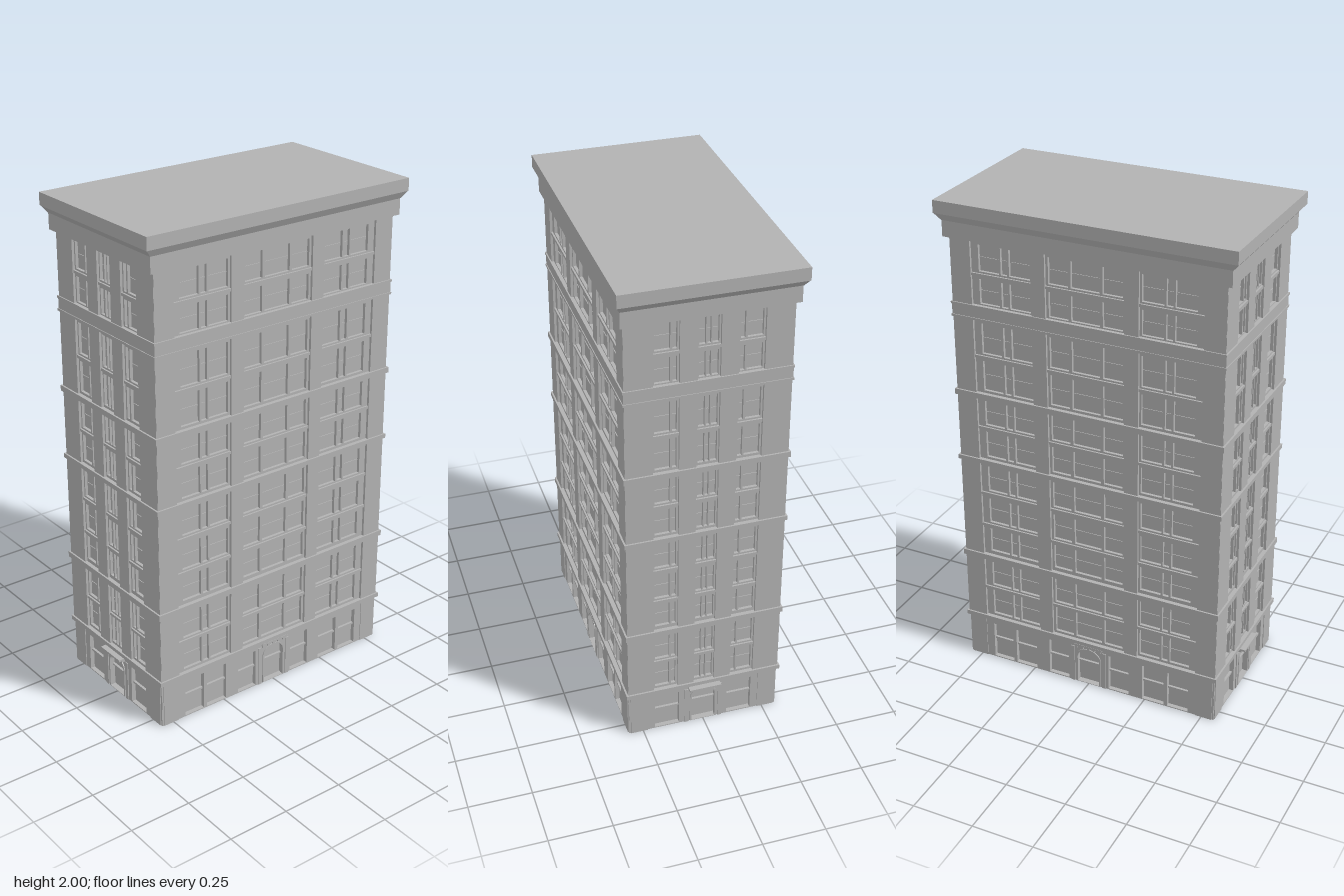
import * as THREE from 'three';

const stone = new THREE.MeshStandardMaterial({ color: 0xb2b2b2 });
stone.name = 'grey stone';

function add(parent, name, geometry, x = 0, y = 0, z = 0) {
  const mesh = new THREE.Mesh(geometry, stone);
  mesh.name = name;
  mesh.position.set(x, y, z);
  parent.add(mesh);
  return mesh;
}

// Box given by its x range, y range and z range
function block(parent, name, x0, x1, y0, y1, z0, z1) {
  return add(parent, name, new THREE.BoxGeometry(x1 - x0, y1 - y0, z1 - z0),
    (x0 + x1) / 2, (y0 + y1) / 2, (z0 + z1) / 2);
}

function rectPath(x0, x1, y0, y1, Type = THREE.Path) {
  const p = new Type();
  p.moveTo(x0, y0);
  p.lineTo(x1, y0);
  p.lineTo(x1, y1);
  p.lineTo(x0, y1);
  p.closePath();
  return p;
}

function archPath(r, y0, spring, Type = THREE.Path) {
  const p = new Type();
  p.moveTo(-r, y0);
  p.lineTo(r, y0);
  p.lineTo(r, spring);
  p.absellipse(0, spring, r, r * 0.8, 0, Math.PI, false);
  p.closePath();
  return p;
}

// Flat panel with holes, its outer face at z
function panel(parent, name, shape, holes, z, depth) {
  shape.holes.push(...holes);
  const geo = new THREE.ExtrudeGeometry(shape, { depth, bevelEnabled: false, curveSegments: 10 });
  return add(parent, name, geo, 0, 0, z - depth);
}

// Storeys between the belts: the bay opening and its window rows
const sections = [
  { y0: 0.205, y1: 0.48, rows: [[0.215, 0.33], [0.355, 0.465]] },
  { y0: 0.505, y1: 0.925, rows: [[0.52, 0.625], [0.655, 0.765], [0.80, 0.91]] },
  { y0: 0.945, y1: 1.21, rows: [[0.955, 1.065], [1.095, 1.20]] },
  { y0: 1.235, y1: 1.54, rows: [[1.245, 1.37], [1.40, 1.525]] },
  { y0: 1.60, y1: 1.86, rows: [[1.605, 1.705], [1.735, 1.84]] },
];

// One side of the building, facing +z at distance d
function facade(name, half, d, bays, groundOpenings, canopyDepth) {
  const g = new THREE.Group();
  g.name = name;

  // Main wall with tall bay openings
  const openings = [];
  for (const s of sections) for (const b of bays) openings.push(rectPath(b.x0, b.x1, s.y0, s.y1 - 0.002));
  panel(g, 'wall', rectPath(-half, half, 0.185, 1.87, THREE.Shape), openings, d, 0.03);

  // Recessed window panels, sills and glass in each bay
  for (const b of bays) {
    const panes = [];
    for (const s of sections) {
      s.rows.forEach(([y0, y1], i) => {
        for (const [x0, x1] of b.panes) {
          panes.push(rectPath(x0, x1, y0, y1));
          block(g, 'sash rail', x0, x1, (y0 + y1) / 2 - 0.002, (y0 + y1) / 2 + 0.002, d - 0.024, d - 0.021);
        }
        if (i > 0) block(g, 'sill', b.x0, b.x1, y0 - 0.018, y0 - 0.007, d - 0.02, d - 0.003);
      });
    }
    panel(g, 'window frames', rectPath(b.x0 - 0.005, b.x1 + 0.005, 0.19, 1.865, THREE.Shape), panes, d - 0.01, 0.012);
    block(g, 'glass', b.x0 - 0.005, b.x1 + 0.005, 0.19, 1.865, d - 0.028, d - 0.024);
  }

  // Ground floor with shop windows and an arched doorway
  const base = d - 0.003;
  const holes = groundOpenings.map(([x0, x1]) => rectPath(x0, x1, 0.004, 0.165));
  holes.push(archPath(0.05, 0.004, 0.125));
  panel(g, 'ground floor wall', rectPath(-half + 0.003, half - 0.003, 0, 0.19, THREE.Shape), holes, base, 0.03);
  for (const [x0, x1] of groundOpenings) {
    block(g, 'shop window', x0 - 0.004, x1 + 0.004, 0.004, 0.17, base - 0.024, base - 0.018);
    block(g, 'transom', x0, x1, 0.088, 0.096, base - 0.02, base - 0.008);
    for (const x of [x0, x1]) block(g, 'partition', x - 0.002, x + 0.002, 0.004, 0.18, base - 0.09, base - 0.02);
  }
  block(g, 'door', -0.054, 0.054, 0.004, 0.172, base - 0.026, base - 0.02);
  block(g, 'door transom', -0.05, 0.05, 0.096, 0.102, base - 0.022, base - 0.01);
  panel(g, 'door surround', archPath(0.055, 0.002, 0.125, THREE.Shape), [archPath(0.048, 0.004, 0.125)], base + 0.004, 0.015);
  for (const s of [-1, 1]) {
    block(g, 'door pilaster', s * 0.07 - 0.008, s * 0.07 + 0.008, 0, 0.17, base - 0.01, base + 0.004);
    block(g, 'corner pilaster', s * (half - 0.045) - 0.035, s * (half - 0.045) + 0.035, 0, 0.185, base - 0.01, base + 0.003);
  }

  // Canopy on small brackets
  block(g, 'canopy', -0.065, 0.065, 0.181, 0.189, base - 0.01, d + canopyDepth);
  for (let i = 0; i < 5; i++) {
    const x = -0.052 + i * 0.026;
    block(g, 'bracket', x - 0.005, x + 0.005, 0.168, 0.182, base - 0.01, d + canopyDepth * 0.4);
  }
  return g;
}

// Box whose lower end is narrowed to the given half sizes
function flaredBox(hx, hz, bottomX, bottomZ, h) {
  const geo = new THREE.BoxGeometry(hx * 2, h, hz * 2).toNonIndexed();
  const p = geo.attributes.position;
  for (let i = 0; i < p.count; i++) {
    if (p.getY(i) < 0) p.setXYZ(i, Math.sign(p.getX(i)) * bottomX, -h / 2, Math.sign(p.getZ(i)) * bottomZ);
  }
  geo.computeVertexNormals();
  return geo;
}

// Square ring around the building, open in the middle
function ring(parent, name, hx, hz, y0, y1) {
  const shape = rectPath(-hx, hx, -hz, hz, THREE.Shape);
  shape.holes.push(rectPath(-hx + 0.04, hx - 0.04, -hz + 0.04, hz - 0.04));
  const geo = new THREE.ExtrudeGeometry(shape, { depth: y1 - y0, bevelEnabled: false });
  geo.rotateX(-Math.PI / 2);
  add(parent, name, geo, 0, y0, 0);
}

export function createModel() {
  const model = new THREE.Group();
  model.name = 'office tower';
  const HX = 0.311, HZ = 0.555;

  // Bays of the narrow and the wide sides
  const endBays = [
    { x0: -0.205, x1: -0.108, panes: [[-0.198, -0.14], [-0.132, -0.115]] },
    { x0: -0.042, x1: 0.042, panes: [[-0.036, -0.012], [-0.007, 0.007], [0.012, 0.036]] },
    { x0: 0.108, x1: 0.205, panes: [[0.115, 0.132], [0.14, 0.198]] },
  ];
  const sideBays = [
    { x0: -0.47, x1: -0.217, panes: [[-0.44, -0.355], [-0.347, -0.32], [-0.312, -0.225]] },
    { x0: -0.16, x1: 0.16, panes: [[-0.15, -0.07], [-0.058, 0.058], [0.07, 0.15]] },
    { x0: 0.217, x1: 0.47, panes: [[0.225, 0.312], [0.32, 0.347], [0.355, 0.44]] },
  ];
  const endGround = [[-0.2, -0.1], [0.1, 0.2]];
  const sideGround = [[-0.44, -0.35], [-0.335, -0.24], [-0.18, -0.09],
    [0.09, 0.18], [0.24, 0.335], [0.35, 0.44]];

  // Four sides, opposite ones alike
  for (const turn of [0, Math.PI]) {
    const end = facade(turn ? 'back facade' : 'front facade', HX - 0.001, HZ, endBays, endGround, 0.03);
    end.rotation.y = turn;
    const side = facade(turn ? 'right facade' : 'left facade', HZ - 0.001, HX, sideBays, sideGround, 0.008);
    side.rotation.y = turn + Math.PI / 2;
    model.add(end, side);
  }

  // Belt courses
  for (const [y0, y1] of [[0.187, 0.205], [0.482, 0.505], [0.927, 0.945], [1.212, 1.235]]) {
    ring(model, 'belt course', HX + 0.007, HZ + 0.007, y0, y1);
  }
  ring(model, 'upper band', HX + 0.002, HZ + 0.002, 1.54, 1.60);
  ring(model, 'upper band lower ledge', HX + 0.005, HZ + 0.005, 1.54, 1.549);
  ring(model, 'upper band upper ledge', HX + 0.005, HZ + 0.005, 1.591, 1.60);

  // Ceiling over the open ground floor
  block(model, 'ground floor ceiling', -0.29, 0.29, 0.18, 0.188, -0.53, 0.53);

  // Cornice and flat roof
  block(model, 'frieze', -0.325, 0.325, 1.858, 1.925, -0.575, 0.575);
  add(model, 'cornice flare', flaredBox(0.341, 0.598, 0.326, 0.576, 0.028), 0, 1.936, 0);
  block(model, 'roof slab', -0.342, 0.342, 1.95, 2, -0.6, 0.6);
  return model;
}
